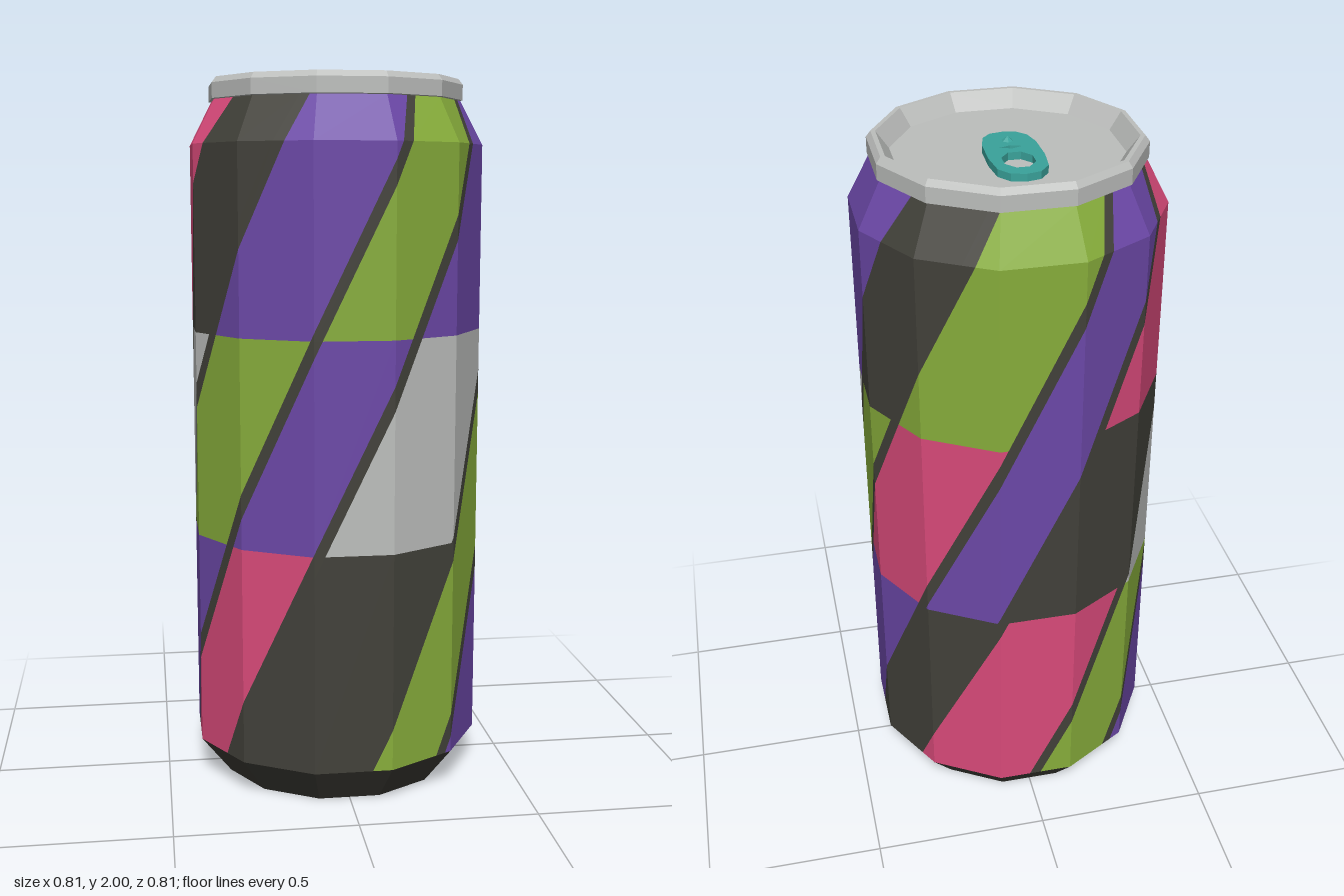
import * as THREE from 'three';

const SIDES = 12, STEP = 360 / SIDES;
const COS = Math.cos(Math.PI / SIDES);

const mat = (name, color) => {
  const m = new THREE.MeshStandardMaterial({ color });
  m.name = name;
  return m;
};

export function createModel() {
  const can = new THREE.Group();
  can.name = 'drinkCan';

  const M = {
    purple: mat('purple', 0x6c48a8),
    green: mat('green', 0x87ad3b),
    pink: mat('pink', 0xd94a7a),
    dark: mat('charcoal', 0x42413a),
    silver: mat('silver', 0xbdbfbd),
    teal: mat('teal', 0x3aa39b),
  };

  const add = (name, geometry, material) => {
    const mesh = new THREE.Mesh(geometry, material);
    mesh.name = name;
    can.add(mesh);
    return mesh;
  };

  // Faceted lathe; profile gives [half width, y], running upwards on the outside
  const facetedLathe = (profile) => {
    const pts = profile.map(([w, y]) => new THREE.Vector2(w / COS, y));
    const g = new THREE.LatheGeometry(pts, SIDES, Math.PI / SIDES).toNonIndexed();
    g.computeVertexNormals();
    return g;
  };

  // Base and lid
  add('base', facetedLathe([[0, 0.02], [0.27, 0.004], [0.32, 0], [0.404, 0.11]]), M.dark);
  add('rimAndLid', facetedLathe([
    [0.338, 1.94], [0.349, 1.942], [0.349, 1.984], [0.337, 2], [0.325, 2], [0.293, 1.955], [0, 1.955],
  ]), M.silver);

  // Wall: diagonal stripes in three bands, cut exactly along the facets
  const TWIST = 67, Y_REF = 0.725, HALF_LINE = 2.3;
  const rows = [[0.11, 0.725], [0.725, 1.305], [1.305, 1.82], [1.82, 1.94]];
  const bandOfRow = [0, 1, 2, 2];
  // [starting angle at Y_REF, colour in lower, middle and upper band]
  const stripes = [
    [-139, 'green', 'silver', 'dark'],
    [-102, 'purple', 'green', 'purple'],
    [-53, 'pink', 'purple', 'green'],
    [-13.3, 'dark', 'silver', 'purple'],
    [46.3, 'green', 'green', 'dark'],
    [81, 'purple', 'pink', 'green'],
    [131.5, 'dark', 'purple', 'purple'],
    [166, 'pink', 'dark', 'pink'],
  ];
  const wallRadius = (y) => (y <= 1.82 ? 0.404 : 0.404 - (y - 1.82) / 0.12 * 0.061) / COS;

  // Point on facet k at angle a, linear across the facet
  const onFacet = (k, a, y) => {
    const a0 = THREE.MathUtils.degToRad((k - 0.5) * STEP);
    const a1 = THREE.MathUtils.degToRad((k + 0.5) * STEP);
    const t = a / STEP - k + 0.5, r = wallRadius(y);
    return [
      r * THREE.MathUtils.lerp(Math.sin(a0), Math.sin(a1), t), y,
      r * THREE.MathUtils.lerp(Math.cos(a0), Math.cos(a1), t),
    ];
  };

  // Keep the part of a polygon where sign * (a - limit) >= 0
  const clip = (poly, limit, sign) => {
    const out = [];
    poly.forEach((p, i) => {
      const q = poly[(i + 1) % poly.length];
      const dp = sign * (p[0] - limit), dq = sign * (q[0] - limit);
      if (dp >= 0) out.push(p);
      if (dp * dq < 0) {
        const t = dp / (dp - dq);
        out.push([limit, p[1] + (q[1] - p[1]) * t]);
      }
    });
    return out;
  };

  const wall = {};
  const addCell = (color, from, to, [y0, y1]) => {
    const s0 = (y0 - Y_REF) * TWIST, s1 = (y1 - Y_REF) * TWIST;
    const cell = [[from + s0, y0], [to + s0, y0], [to + s1, y1], [from + s1, y1]];
    const first = Math.round((from + s0) / STEP) - 1, last = Math.round((to + s1) / STEP) + 1;
    const out = (wall[color] ??= []);
    for (let k = first; k <= last; k++) {
      const poly = clip(clip(cell, (k - 0.5) * STEP, 1), (k + 0.5) * STEP, -1);
      for (let i = 1; i + 1 < poly.length; i++) {
        for (const p of [poly[0], poly[i], poly[i + 1]]) out.push(...onFacet(k, p[0], p[1]));
      }
    }
  };

  rows.forEach((row, r) => stripes.forEach((stripe, i) => {
    const next = i + 1 < stripes.length ? stripes[i + 1][0] : stripes[0][0] + 360;
    addCell('dark', stripe[0] - HALF_LINE, stripe[0] + HALF_LINE, row);
    addCell(stripe[1 + bandOfRow[r]], stripe[0] + HALF_LINE, next - HALF_LINE, row);
  }));
  for (const [color, positions] of Object.entries(wall)) {
    const g = new THREE.BufferGeometry();
    g.setAttribute('position', new THREE.Float32BufferAttribute(positions, 3));
    g.computeVertexNormals();
    add(color + 'WallPanels', g, M[color]);
  }

  // Pull tab: outline mirrored across x, with finger hole and slot (shape y points to the back)
  const half = [[0.035, -0.055], [0.058, -0.03], [0.07, 0.02], [0.072, 0.11], [0.064, 0.18], [0.038, 0.214]];
  const outline = [
    [0, -0.062], ...half, [0, 0.223], ...half.map(([x, y]) => [-x, y]).reverse(),
  ].map(([x, y]) => new THREE.Vector2(x, y));
  const tab = new THREE.Shape(outline);
  const ring = (n, cy, rx, ry, turn) => new THREE.Path(Array.from({ length: n }, (_, i) => {
    const a = (i + turn) / n * Math.PI * 2;
    return new THREE.Vector2(rx * Math.cos(a), cy + ry * Math.sin(a));
  }));
  tab.holes.push(ring(8, 0.13, 0.043, 0.053, 0.5), ring(4, 0.045, 0.03, 0.011, 0));
  const tabGeometry = new THREE.ExtrudeGeometry(tab, { depth: 0.02, bevelEnabled: false });
  tabGeometry.rotateX(-Math.PI / 2);
  add('pullTab', tabGeometry, M.teal).position.y = 1.96;

  // Rivet holding the tab
  const rivet = new THREE.ConeGeometry(0.015, 0.012, 6).toNonIndexed();
  rivet.computeVertexNormals();
  add('rivet', rivet, M.teal).position.y = 1.986;
  const post = new THREE.CylinderGeometry(0.02, 0.02, 0.01, 6).toNonIndexed();
  post.computeVertexNormals();
  add('rivetPost', post, M.teal).position.y = 1.957;

  return can;
}
